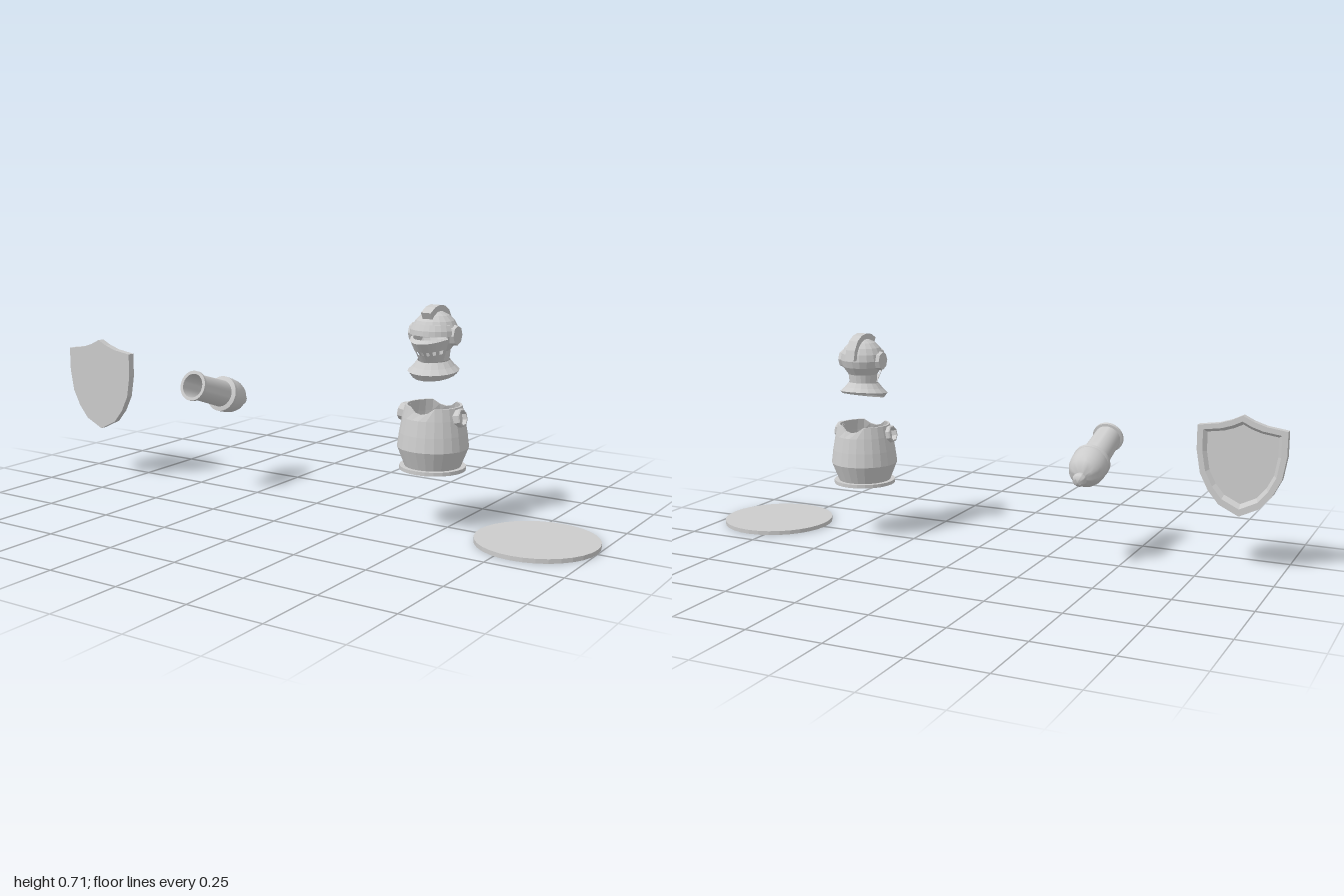
import * as THREE from 'three';
import { toCreasedNormals } from 'three/addons/utils/BufferGeometryUtils.js';

const TAU = Math.PI * 2;
const flat = new THREE.MeshStandardMaterial({ color: 0xcccccc, flatShading: true, side: THREE.DoubleSide });
const smooth = new THREE.MeshStandardMaterial({ color: 0xcccccc, side: THREE.DoubleSide });

function add(parent, name, geometry, material = flat) {
  const mesh = new THREE.Mesh(geometry, material);
  mesh.name = name;
  parent.add(mesh);
  return mesh;
}

// Skin a grid of points; point(i, j) gives [x, y, z], skip(i, j) leaves a hole
function skin(rows, cols, point, skip = () => false) {
  const pos = [];
  for (let i = 0; i < rows; i++) {
    for (let j = 0; j < cols; j++) {
      if (skip(i, j)) continue;
      const a = point(i, j), b = point(i, j + 1), c = point(i + 1, j + 1), d = point(i + 1, j);
      pos.push(...a, ...b, ...c, ...a, ...c, ...d);
    }
  }
  const g = new THREE.BufferGeometry();
  g.setAttribute('position', new THREE.Float32BufferAttribute(pos, 3));
  g.computeVertexNormals();
  return g;
}

// Skin rings [radius, y, zCentre, tilt] over an angle range measured from the front
function rings(list, cols, from = 0, to = TAU, xScale = 1) {
  return skin(list.length - 1, cols, (i, j) => {
    const [r, y, zc = 0, tilt = 0] = list[i];
    const t = from + (to - from) * j / cols;
    return [r * xScale * Math.sin(t), y + tilt * Math.cos(t), zc + r * Math.cos(t)];
  });
}

function makeShield() {
  const half = [[0, 0.505], [0.035, 0.488], [0.075, 0.475], [0.143, 0.465], [0.143, 0.385],
    [0.13, 0.31], [0.102, 0.255], [0.066, 0.212], [0, 0.18]];
  const outline = [...half, ...half.slice(1, -1).reverse().map(([x, y]) => [-x, y])];
  // scale and depth: flat front, outer edge, back rim, sloped recess
  const layers = [[0, 0.131], [1, 0.131], [1, 0.106], [0.87, 0.106], [0.79, 0.12], [0, 0.12]];
  const cy = 0.36;
  const g = skin(layers.length - 1, outline.length, (i, j) => {
    const [s, z] = layers[i], [x, y] = outline[j % outline.length];
    return [x * s, cy + (y - cy) * s, z];
  });
  const shield = new THREE.Group();
  shield.name = 'shield';
  add(shield, 'shieldPlate', g);
  shield.position.x = -0.857;
  return shield;
}

function makeCannon() {
  const profile = [[0, -0.304], [0.012, -0.301], [0.02, -0.294], [0.023, -0.284], [0.02, -0.274], [0.018, -0.27],
    [0.036, -0.262], [0.05, -0.246], [0.058, -0.225], [0.061, -0.2], [0.06, -0.18], [0.062, -0.178], [0.062, -0.166],
    [0.047, -0.162], [0.044, -0.012], [0.052, -0.01], [0.052, 0], [0.041, 0], [0.039, -0.18], [0, -0.18]];
  const lathe = new THREE.LatheGeometry(profile.map(p => new THREE.Vector2(...p)), 32);
  const cannon = add(new THREE.Group(), 'cannon', toCreasedNormals(lathe, 0.6), smooth);
  cannon.rotation.x = 1.25;
  cannon.position.set(-0.4, 0.39, 0.161);
  return cannon;
}

function makeBody() {
  const body = new THREE.Group();
  body.name = 'body';
  const base = add(body, 'base', new THREE.CylinderGeometry(0.106, 0.106, 0.012, 24));
  base.position.y = 0.191;

  // Hollow torso, its top edge dipping at front and back
  const top = 0.393;
  const wall = [[0.09, 0.197], [0.114, 0.258], [0.108, 0.305], [0.099, 0.355], [0.09, top],
    [0.083, top], [0.091, 0.355], [0.1, 0.3], [0.104, 0.258], [0.08, 0.198]];
  add(body, 'torso', skin(wall.length - 1, 24, (i, j) => {
    const t = j / 24 * TAU;
    let [r, y] = wall[i];
    if (y === top) y -= 0.02 * Math.max(0, (Math.abs(Math.cos(t)) - 0.866) / 0.134);
    return [r * Math.sin(t), y, r * Math.cos(t)];
  }));

  // Octagonal arm sockets
  const section = [[0.025, -0.012], [0.03, -0.012], [0.03, 0.007], [0.027, 0.011], [0.023, 0.011], [0.022, -0.012]];
  for (const s of [1, -1]) {
    const socket = add(body, s > 0 ? 'leftArmSocket' : 'rightArmSocket',
      new THREE.LatheGeometry(section.map(p => new THREE.Vector2(...p)), 8, Math.PI / 8));
    socket.rotation.z = -s * (Math.PI / 2 - 0.2);
    socket.position.set(s * 0.1, 0.362, 0.011);
  }
  return body;
}

function makeHelmet() {
  const helmet = new THREE.Group();
  helmet.name = 'helmet';
  const open = Math.PI / 3;

  // Dome, and the back of the skull down to the neck
  const dome = [];
  for (let i = 0; i <= 5; i++) {
    const a = i / 5 * Math.PI / 2;
    dome.push([0.073 * Math.cos(a), 0.617 + 0.074 * Math.sin(a)]);
  }
  add(helmet, 'dome', rings(dome, 18, 0, TAU, 1.04));
  add(helmet, 'skullBack', rings([[0.045, 0.537], [0.048, 0.568], [0.066, 0.594], [0.073, 0.617]],
    12, open, TAU - open, 1.04));

  // Brow plate over the eye slit
  add(helmet, 'brow', rings([[0.071, 0.617], [0.078, 0.617], [0.077, 0.633], [0.069, 0.651], [0.062, 0.651]],
    10, -1.2, 1.2, 1.02));

  // Jutting visor with a row of breathing holes: [radius, y, forward reach, drop at front]
  const visor = [[0.046, 0.537, 0.012, 0.005], [0.055, 0.562, 0.02, 0.006], [0.06, 0.575, 0.026, 0.007],
    [0.071, 0.608, 0.036, 0.012], [0.064, 0.611, 0.027, 0.004]];
  const cols = 15;
  add(helmet, 'visor', skin(visor.length - 1, cols, (i, j) => {
    const [r, y, reach, drop] = visor[i];
    const t = -open * 1.05 + open * 2.1 * j / cols;
    const k = Math.max(0, (Math.cos(t) - 0.5) / 0.5);
    return [r * 1.04 * Math.sin(t), y - drop * k, r * Math.cos(t) + reach * k];
  }, (i, j) => i === 1 && j % 2 === 1));

  // Flared, tilted collar, hollow below
  add(helmet, 'collar', rings([[0.044, 0.53], [0.07, 0.4935, -0.002, -0.0175], [0.079, 0.5045, 0.005, -0.0085],
    [0.064, 0.519, 0.005, -0.006], [0.05, 0.537, 0.005, -0.004]], 18, 0, TAU, 1.04));

  // Crest running over the dome
  const outer = [[0.062, 0.688], [0.032, 0.703], [0, 0.708], [-0.032, 0.703], [-0.06, 0.687], [-0.08, 0.658], [-0.09, 0.622]];
  const inner = [[-0.068, 0.622], [-0.062, 0.65], [-0.045, 0.671], [-0.02, 0.684], [0, 0.686], [0.025, 0.683], [0.05, 0.667]];
  const shape = new THREE.Shape([...outer, ...inner].map(p => new THREE.Vector2(...p)));
  const crest = new THREE.ExtrudeGeometry(shape, { depth: 0.034, bevelEnabled: false });
  add(helmet, 'crest', crest.translate(0, 0, -0.017).rotateY(-Math.PI / 2));

  // Octagonal visor hinges
  for (const s of [1, -1]) {
    const hinge = add(helmet, s > 0 ? 'leftHinge' : 'rightHinge', new THREE.CylinderGeometry(0.03, 0.034, 0.022, 8));
    hinge.rotation.z = -s * Math.PI / 2;
    hinge.position.set(s * 0.069, 0.617, 0);
  }
  return helmet;
}

export function createModel() {
  const model = new THREE.Group();
  model.name = 'knightParts';
  const body = makeBody(), helmet = makeHelmet();
  body.position.x = helmet.position.x = 0.442;
  model.add(makeShield(), makeCannon(), body, helmet);

  // Flat round plate
  const plate = add(model, 'roundPlate', new THREE.CylinderGeometry(0.193, 0.193, 0.014, 32));
  plate.position.set(0.807, 0.007, 0);
  return model;
}
